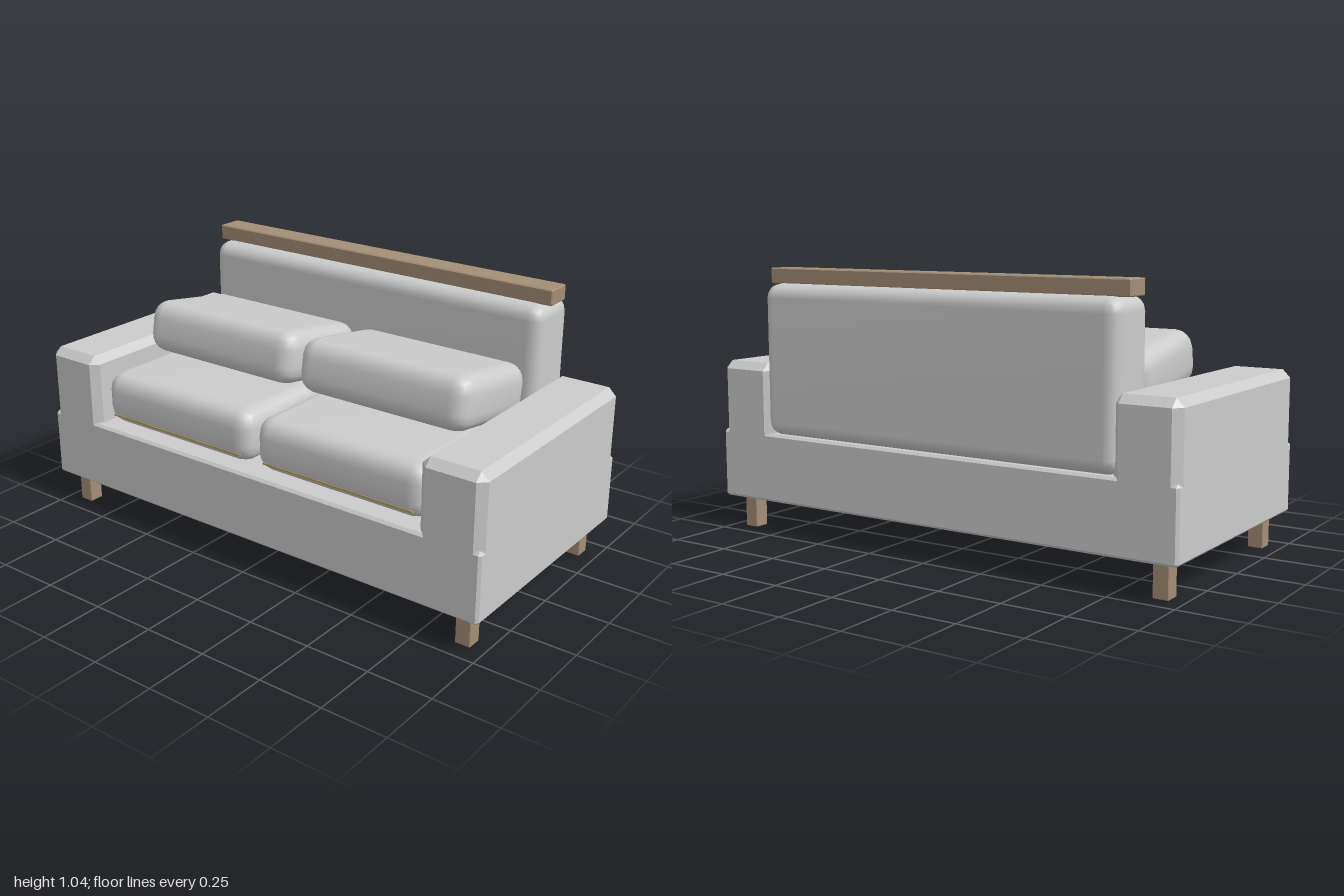
import * as THREE from 'three';
import { mergeVertices } from 'three/addons/utils/BufferGeometryUtils.js';
import { RoundedBoxGeometry } from 'three/addons/geometries/RoundedBoxGeometry.js';
import { ConvexGeometry } from 'three/addons/geometries/ConvexGeometry.js';

const fabric = new THREE.MeshStandardMaterial({ color: 0xcccccc });
const panel = new THREE.MeshStandardMaterial({ color: 0xcccccc, flatShading: true });
const wood = new THREE.MeshStandardMaterial({ color: 0xa48e76, flatShading: true });
const gold = new THREE.MeshStandardMaterial({ color: 0xb59a55, flatShading: true });

// Hull of stacked rectangles; each level is [y, half width, half depth, corner cut]
function stackedBlock(levels) {
  const points = [];
  for (const [y, hx, hz, c] of levels) {
    for (const sx of [-1, 1]) for (const sz of [-1, 1]) {
      points.push(new THREE.Vector3(sx * (hx - c), y, sz * hz));
      if (c > 0) points.push(new THREE.Vector3(sx * hx, y, sz * (hz - c)));
    }
  }
  return new ConvexGeometry(points);
}

// Box with a bevel on every edge, standing on y = 0
function bevelBox(w, h, d, c) {
  const x = w / 2, z = d / 2;
  return stackedBlock([[0, x - c, z - c, 0], [c, x, z, c], [h - c, x, z, c], [h, x - c, z - c, 0]]);
}

// Soft cushion with normals blended over the whole surface
function cushion(w, h, d, r) {
  const g = new RoundedBoxGeometry(w, h, d, 2, r);
  g.deleteAttribute('normal');
  g.deleteAttribute('uv');
  g.clearGroups();
  const merged = mergeVertices(g, 1e-4);
  merged.computeVertexNormals();
  return merged;
}

export function createModel() {
  const sofa = new THREE.Group();
  sofa.name = 'sofa';
  const add = (name, geometry, material, x, y, z) => {
    const mesh = new THREE.Mesh(geometry, material);
    mesh.name = name;
    mesh.position.set(x, y, z);
    sofa.add(mesh);
    return mesh;
  };

  // Base with slim bevels
  add('base', bevelBox(2, 0.27, 0.97, 0.01), panel, 0, 0.13, 0);

  // Arms with wider bevels on the top and upright edges
  const armGeometry = stackedBlock([
    [0.39, 0.125, 0.485, 0.03],
    [0.645, 0.125, 0.485, 0.03],
    [0.675, 0.095, 0.455, 0],
  ]);
  const seatGeometry = cushion(0.74, 0.21, 0.705, 0.07);
  const pillowGeometry = cushion(0.735, 0.21, 0.45, 0.07);
  const trimGeometry = new THREE.BoxGeometry(0.65, 0.007, 0.016);
  const legGeometry = bevelBox(0.06, 0.13, 0.06, 0.003);

  for (const [side, s] of [['left', 1], ['right', -1]]) {
    add(side + 'Arm', armGeometry, panel, s * 0.875, 0, 0);
    add(side + 'SeatCushion', seatGeometry, fabric, s * 0.38, 0.505, 0.09);
    add(side + 'SeatTrim', trimGeometry, gold, s * 0.38, 0.44, 0.431);
    // Loose cushion tipped up at the front
    add(side + 'LooseCushion', pillowGeometry, fabric, s * 0.38, 0.707, -0.028).rotation.x = -0.165;
    for (const [end, z] of [['Front', 0.4], ['Back', -0.4]]) {
      add(side + end + 'Leg', legGeometry, wood, s * 0.915, 0, z);
    }
  }

  // Upright back cushion and the rail along its top
  add('backCushion', cushion(1.55, 0.59, 0.23, 0.055), fabric, 0, 0.69, -0.37);
  add('topRail', bevelBox(1.57, 0.06, 0.103, 0.004), wood, 0, 0.983, -0.368);

  return sofa;
}
